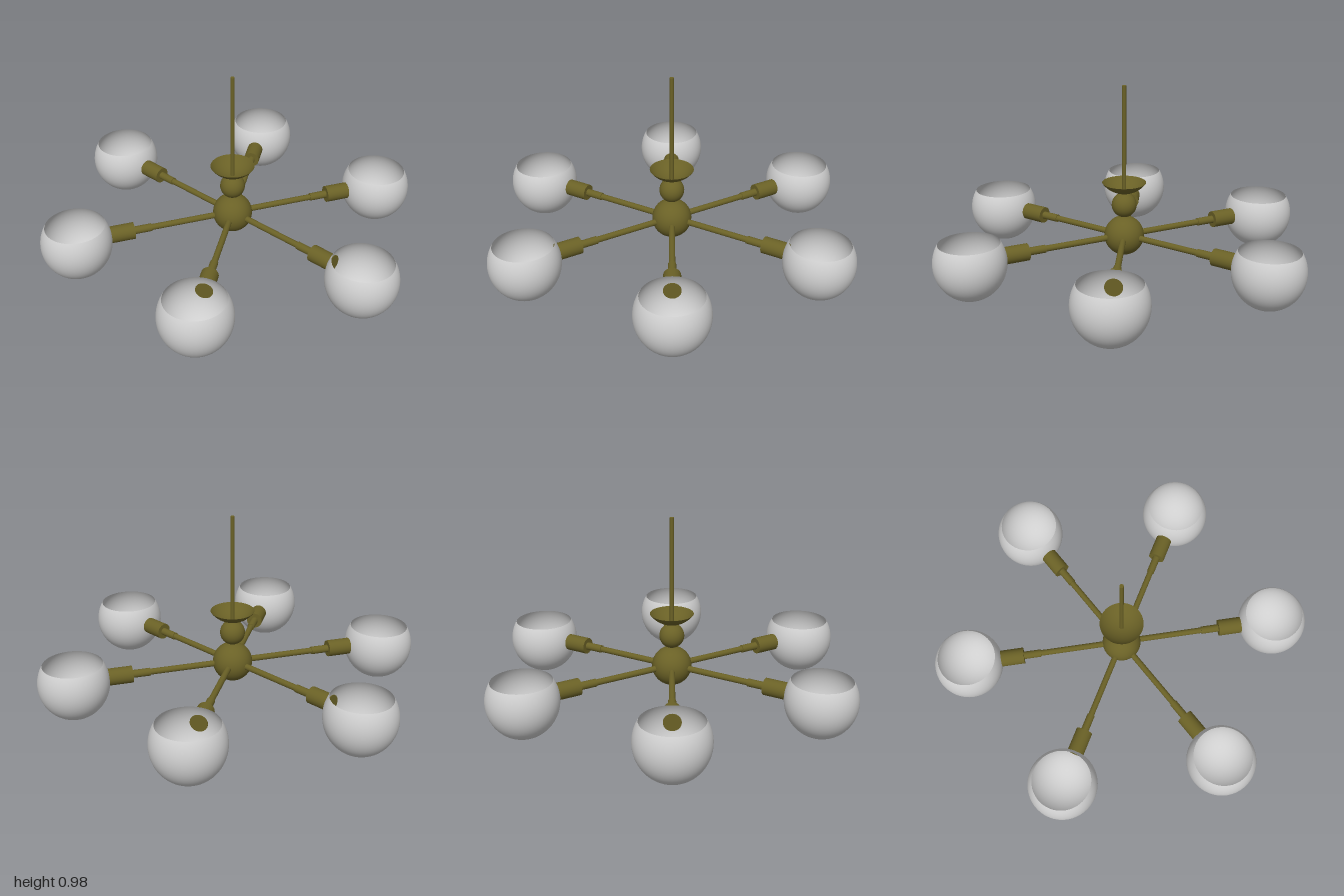
import * as THREE from 'three';

export function createModel() {
  const model = new THREE.Group();
  model.name = 'chandelier';

  const brass = new THREE.MeshStandardMaterial({ color: 0x6a6126, side: THREE.DoubleSide });
  brass.name = 'aged brass';
  const glass = new THREE.MeshStandardMaterial({ color: 0xcecece, side: THREE.DoubleSide });
  glass.name = 'frosted glass';

  const add = (parent, name, geometry, material, x, y, z = 0) => {
    const mesh = new THREE.Mesh(geometry, material);
    mesh.name = name;
    mesh.position.set(x, y, z);
    parent.add(mesh);
    return mesh;
  };

  // Central stack: hub ball, neck ball, open dish and hanging rod
  const armY = 0.192;
  add(model, 'hub', new THREE.SphereGeometry(0.102, 40, 28), brass, 0, armY);
  add(model, 'neckBall', new THREE.SphereGeometry(0.064, 32, 24), brass, 0, 0.357);

  const dishRadius = 0.112, dishDepth = 0.057;
  const curve = (dishRadius ** 2 + dishDepth ** 2) / (2 * dishDepth);
  const sweep = Math.asin(dishRadius / curve);
  const dishProfile = [];
  for (let i = 0; i <= 12; i++) {
    const a = (sweep * i) / 12;
    dishProfile.push(new THREE.Vector2(curve * Math.sin(a), curve * (1 - Math.cos(a))));
  }
  add(model, 'dish', new THREE.LatheGeometry(dishProfile, 48), brass, 0, 0.42);
  add(model, 'hangingRod', new THREE.CylinderGeometry(0.0105, 0.0105, 0.56, 20), brass, 0, 0.696);

  // Shared arm parts, laid along +x
  const along = (radius, from, to) =>
    new THREE.CylinderGeometry(radius, radius, to - from, 28)
      .rotateZ(-Math.PI / 2)
      .translate((from + to) / 2, 0, 0);
  const rod = along(0.0155, 0.05, 0.46);
  const sleeve = along(0.02, 0.435, 0.54);
  const socket = along(0.043, 0.527, 0.652);

  // Globe shade: a sphere with its top cut off
  const globeRadius = 0.179, globeY = 0.186, rimY = 0.288;
  const globe = new THREE.SphereGeometry(1, 48, 32, 0, Math.PI * 2,
    Math.acos((rimY - globeY) / globeY), Math.PI - Math.acos((rimY - globeY) / globeY))
    .scale(globeRadius, globeY, globeRadius);

  // Six arms evenly spaced around the hub
  for (let i = 0; i < 6; i++) {
    const arm = new THREE.Group();
    arm.name = `arm${i + 1}`;
    arm.rotation.y = (i * Math.PI) / 3;
    add(arm, 'armRod', rod, brass, 0, armY);
    add(arm, 'armSleeve', sleeve, brass, 0, armY);
    add(arm, 'lampSocket', socket, brass, 0, armY);
    add(arm, 'globeShade', globe, glass, 0.821, globeY);
    model.add(arm);
  }

  return model;
}
